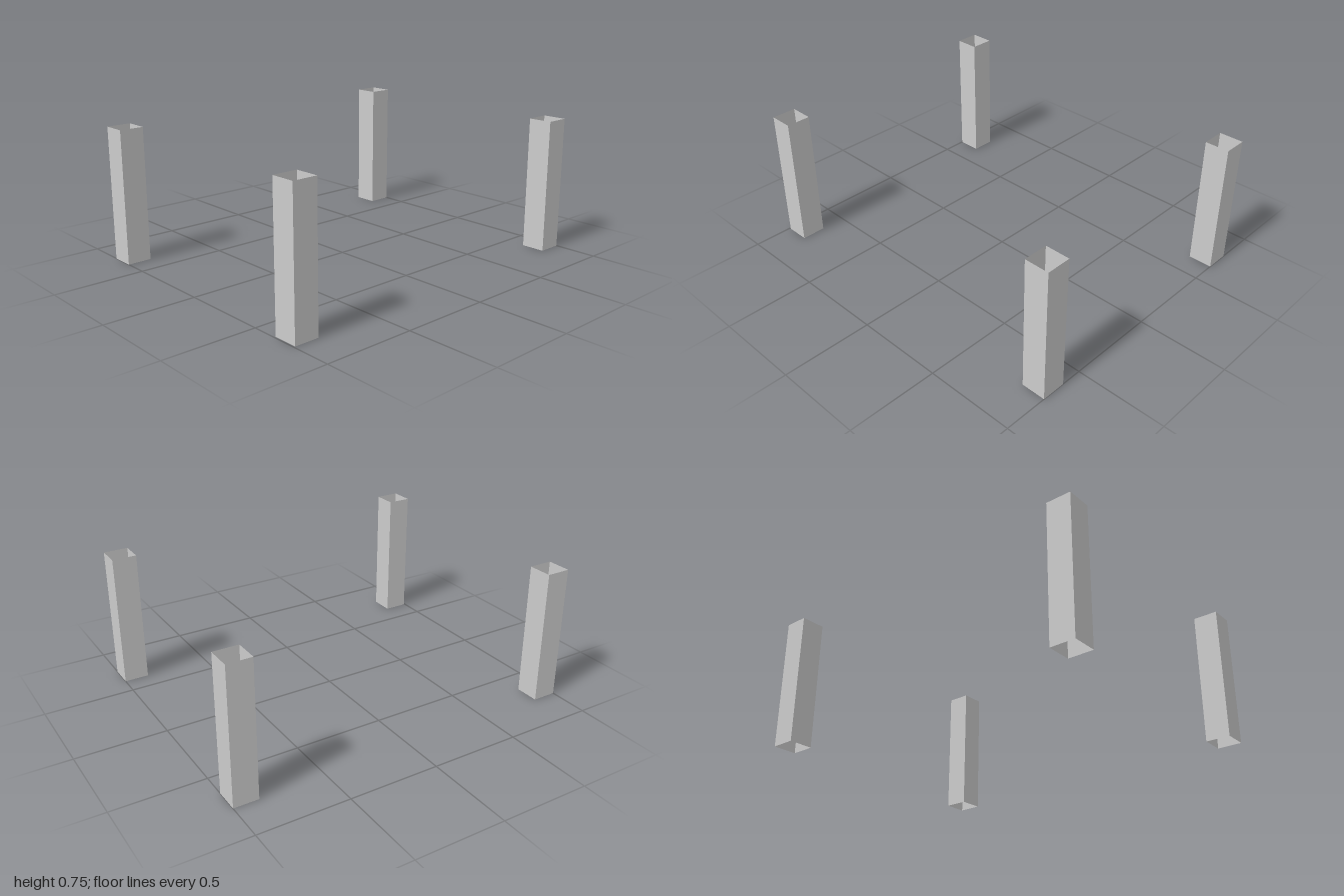
import * as THREE from 'three';

const SIDE = 0.136;
const HEIGHT = 0.75;

export function createModel() {
  const model = new THREE.Group();
  const material = new THREE.MeshStandardMaterial({
    color: 0xcccccc, flatShading: true, side: THREE.DoubleSide,
  });

  // Square thin-walled tube, open at top and bottom
  const tube = new THREE.CylinderGeometry(
    SIDE / Math.SQRT2, SIDE / Math.SQRT2, HEIGHT, 4, 1, true, Math.PI / 4);
  tube.translate(0, HEIGHT / 2, 0);

  // One leg near each corner; the front pair is set very slightly inwards
  const legs = [
    ['frontLeftLeg', 0.932, 0.685],
    ['frontRightLeg', -0.924, 0.709],
    ['backLeftLeg', 0.932, -0.709],
    ['backRightLeg', -0.932, -0.709],
  ];
  for (const [name, x, z] of legs) {
    const leg = new THREE.Mesh(tube, material);
    leg.name = name;
    leg.position.set(x, 0, z);
    model.add(leg);
  }
  return model;
}
